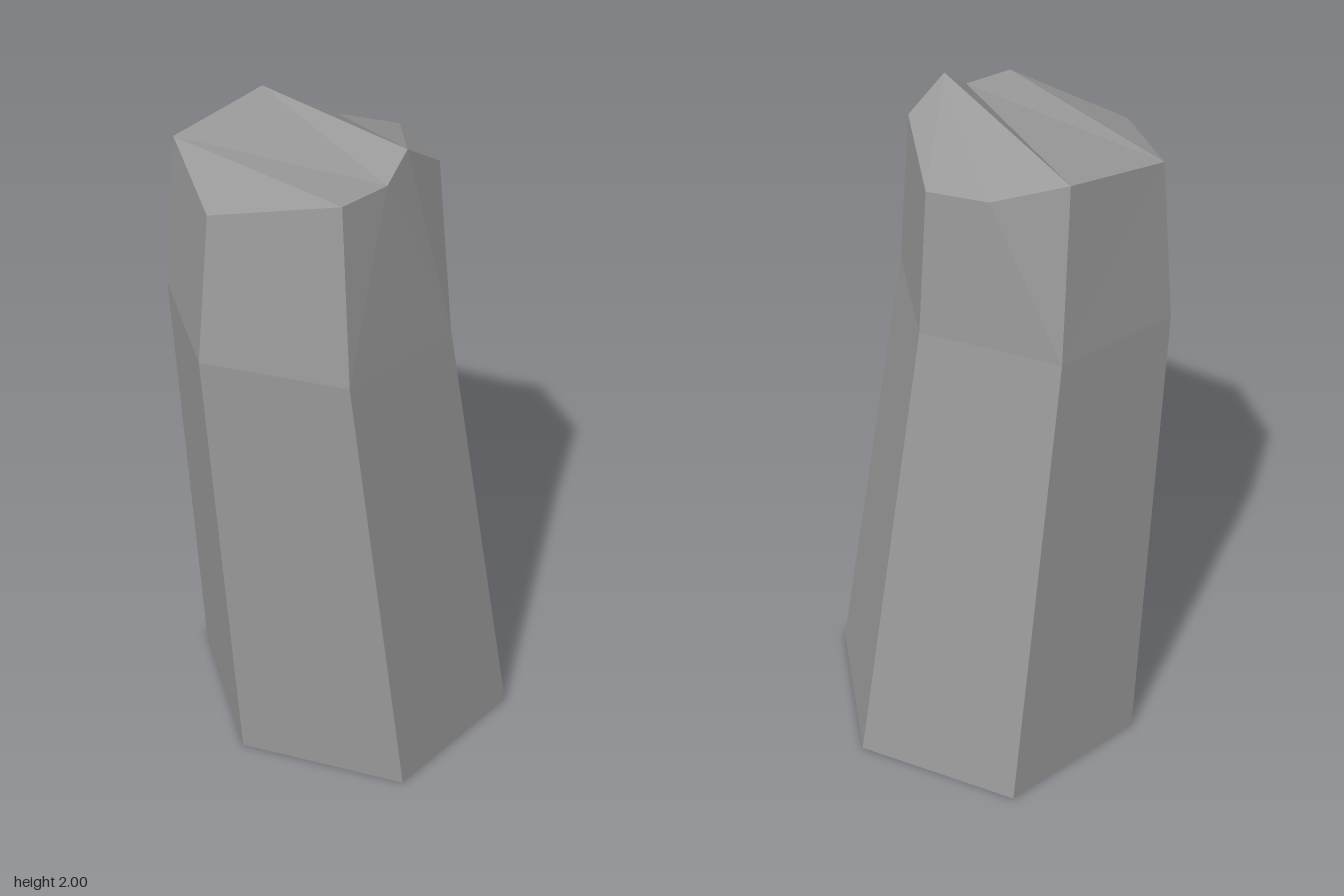
import * as THREE from 'three';

// Rings run left, front-left, front-right, right, back-right, back-left.
const base = [[-0.512, 0, -0.04], [-0.237, 0, 0.42], [0.28, 0, 0.446], [0.512, 0, 0.013], [0.237, 0, -0.443], [-0.275, 0, -0.47]];
const bend = [[-0.514, 1.44, 0.087], [-0.295, 1.44, 0.453], [0.12, 1.44, 0.47], [0.31, 1.44, 0.118], [0.097, 1.44, -0.243], [-0.319, 1.44, -0.26]];
const rim = [[-0.468, 1.9, 0.087], [-0.27, 1.855, 0.4], [0.087, 1.937, 0.415], [0.255, 1.917, 0.075], [0.078, 1.86, -0.223], [-0.308, 1.937, -0.2]];
// Extra broken-edge points on the rim
const notch = [0.167, 1.937, 0.28];
const peak = [0.197, 2, 0.195];
const dip = [-0.1, 1.865, -0.228];

// Triangulates a convex outline as a fan from its first corner
function fan(out, ...corners) {
  for (let i = 1; i < corners.length - 1; i++) out.push(...corners[0], ...corners[i], ...corners[i + 1]);
}

function makeMesh(name, positions) {
  const geometry = new THREE.BufferGeometry();
  geometry.setAttribute('position', new THREE.Float32BufferAttribute(positions, 3));
  geometry.computeVertexNormals();
  const mesh = new THREE.Mesh(geometry, new THREE.MeshStandardMaterial({ color: 0x9a9a9a, flatShading: true }));
  mesh.name = name;
  return mesh;
}

export function createModel() {
  const group = new THREE.Group();
  group.name = 'basaltColumn';

  // Six-sided leaning shaft
  const shaft = [];
  for (let i = 0; i < 6; i++) {
    const j = (i + 1) % 6;
    fan(shaft, base[i], base[j], bend[j], bend[i]);
  }
  fan(shaft, ...[...base].reverse());
  group.add(makeMesh('shaft', shaft));

  // Tapered upper band; two sides meet extra rim points
  const shoulder = [];
  const extra = { 2: [peak, notch], 4: [dip] };
  for (let i = 0; i < 6; i++) {
    const j = (i + 1) % 6;
    if (extra[i]) {
      const last = extra[i][extra[i].length - 1];
      fan(shoulder, bend[j], rim[j], ...extra[i], bend[i]);
      fan(shoulder, bend[i], last, rim[i]);
    } else {
      fan(shoulder, bend[i], bend[j], rim[j], rim[i]);
    }
  }
  group.add(makeMesh('shoulder', shoulder));

  // Fractured top: back slope, step face and front slope
  const [left, frontLeft, frontRight, right, backRight, backLeft] = rim;
  const top = [];
  fan(top, peak, right, backRight, dip, backLeft);
  fan(top, backLeft, notch, peak);
  fan(top, left, frontLeft, frontRight, notch, backLeft);
  group.add(makeMesh('brokenTop', top));

  return group;
}
